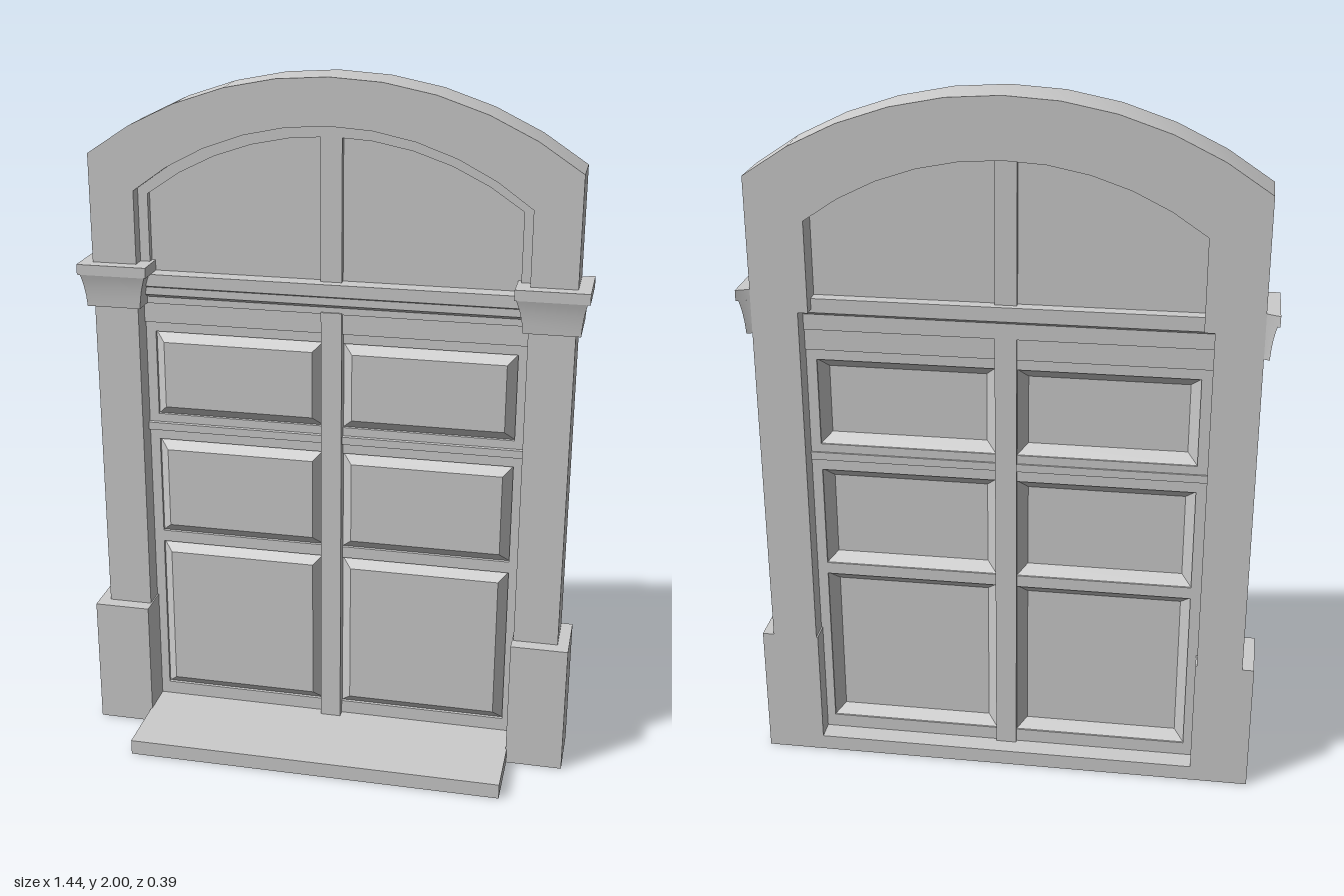
import * as THREE from 'three';
import { toCreasedNormals, mergeVertices } from 'three/addons/utils/BufferGeometryUtils.js';

const mat = new THREE.MeshStandardMaterial({ color: 0xcccccc });
const sheetMat = new THREE.MeshStandardMaterial({ color: 0xcccccc, side: THREE.DoubleSide });

function add(parent, name, geometry, material = mat) {
  const mesh = new THREE.Mesh(geometry, material);
  mesh.name = name;
  parent.add(mesh);
  return mesh;
}

// Box given by its limits on each axis
function box(parent, name, x0, x1, y0, y1, z0, z1) {
  const mesh = add(parent, name, new THREE.BoxGeometry(x1 - x0, y1 - y0, z1 - z0));
  mesh.position.set((x0 + x1) / 2, (y0 + y1) / 2, (z0 + z1) / 2);
  return mesh;
}

// Points of a segmental arch from +x to -x
function arc(halfWidth, spring, top, n = 10) {
  const rise = top - spring;
  const r = (halfWidth ** 2 + rise ** 2) / (2 * rise);
  const a = Math.asin(halfWidth / r);
  return Array.from({ length: n + 1 }, (_, i) => {
    const t = a - (2 * a * i) / n;
    return new THREE.Vector2(r * Math.sin(t), top - r + r * Math.cos(t));
  });
}

// Arched band between an outer and an inner arch, with legs down to a base
function archBand(outer, inner, base, z0, z1) {
  const o = arc(...outer), i = arc(...inner).reverse();
  const shape = new THREE.Shape([
    new THREE.Vector2(outer[0], base), ...o, new THREE.Vector2(-outer[0], base),
    new THREE.Vector2(-inner[0], base), ...i, new THREE.Vector2(inner[0], base),
  ]);
  const g = new THREE.ExtrudeGeometry(shape, { depth: z1 - z0, bevelEnabled: false });
  g.translate(0, 0, z0);
  return toCreasedNormals(g, 0.4);
}

// Closed solid through horizontal rings of [x, z] corners
function loft(rings, heights, side) {
  const pos = [];
  const n = rings[0].length;
  const put = (k, i) => pos.push(rings[k][i % n][0] * side, heights[k], rings[k][i % n][1]);
  const tri = (a, b, c) => (side > 0 ? [a, b, c] : [a, c, b]).forEach(p => put(...p));
  for (let k = 0; k < rings.length - 1; k++) {
    for (let i = 0; i < n; i++) {
      tri([k, i], [k + 1, i + 1], [k, i + 1]);
      tri([k, i], [k + 1, i], [k + 1, i + 1]);
    }
  }
  const last = rings.length - 1;
  const flat = k => THREE.ShapeUtils.triangulateShape(rings[k].map(p => new THREE.Vector2(p[0], -p[1])), []);
  // rings run counter-clockwise seen from below
  for (const [a, b, c] of flat(last)) tri([last, a], [last, b], [last, c]);
  for (const [a, b, c] of flat(0)) tri([0, a], [0, c], [0, b]);
  const g = new THREE.BufferGeometry();
  g.setAttribute('position', new THREE.Float32BufferAttribute(pos, 3));
  return toCreasedNormals(g, 0.5);
}

// Raised door panel: sloping borders around a flat field, open at the back
function raisedPanel(x0, x1, y0, y1, zBack, zFront, b) {
  const ring = (d, z) => [[x0 + d, y0 + d, z], [x1 - d, y0 + d, z], [x1 - d, y1 - d, z], [x0 + d, y1 - d, z]];
  const o = ring(0, zBack), f = ring(b, zFront);
  const pos = [];
  const quad = (p, q, r, s) => pos.push(...p, ...q, ...r, ...p, ...r, ...s);
  for (let i = 0; i < 4; i++) {
    const j = (i + 1) % 4;
    quad(o[i], o[j], f[j], f[i]);
  }
  quad(...f);
  const g = new THREE.BufferGeometry();
  g.setAttribute('position', new THREE.Float32BufferAttribute(pos, 3));
  g.computeVertexNormals();
  return g;
}

function rectPath(Type, x0, x1, y0, y1) {
  const p = new Type();
  p.moveTo(x0, y0).lineTo(x1, y0).lineTo(x1, y1).lineTo(x0, y1).closePath();
  return p;
}

export function createModel() {
  const model = new THREE.Group();
  model.name = 'archedDoorway';

  // Stone surround: piers and arch in one piece
  add(model, 'stoneArch', archBand([0.685, 1.77, 2.0], [0.556, 1.67, 1.87], 0.38, -0.18, -0.04));

  // Doorstep running through to the back
  box(model, 'doorstep', -0.555, 0.555, 0, 0.045, -0.18, 0.195);

  // Capital section: [height, outer x, inner x, front z]
  const section = [
    [1.335, 0.700, 0.543, -0.020],
    [1.365, 0.702, 0.540, -0.018],
    [1.395, 0.706, 0.534, -0.014],
    [1.415, 0.710, 0.528, -0.010],
    [1.43, 0.714, 0.523, -0.006],
    [1.43, 0.721, 0.518, -0.003],
    [1.46, 0.721, 0.518, -0.003],
  ];
  const rings = section.map(([, xo, xi, zf]) => [
    [xo, -0.18 - (xo - 0.685) * 0.4], [0.685, -0.179], [0.6, -0.17],
    [0.6, -0.11], [xi, -0.11], [xi, zf], [xo, zf],
  ].reverse());

  for (const side of [1, -1]) {
    const tag = side > 0 ? 'left' : 'right';
    const span = (a, b) => (side > 0 ? [a, b] : [-b, -a]);
    box(model, tag + 'Plinth', ...span(0.552, 0.718), 0, 0.39, -0.18, 0);
    add(model, tag + 'Capital', loft(rings, section.map(s => s[0]), side));
  }

  // Fanlight: frame, glazing and central bar
  add(model, 'fanlightFrame', archBand([0.557, 1.671, 1.871], [0.528, 1.655, 1.835], 1.40, -0.18, -0.08));
  const pane = new THREE.Shape([
    new THREE.Vector2(0.54, 1.4), ...arc(0.54, 1.66, 1.845), new THREE.Vector2(-0.54, 1.4),
  ]);
  const glass = add(model, 'fanlightPane', new THREE.ExtrudeGeometry(pane, { depth: 0.01, bevelEnabled: false }));
  glass.position.z = -0.11;
  box(model, 'fanlightBar', -0.03, 0.03, 1.42, 1.84, -0.125, -0.08);

  // Moulded transom between door and fanlight, drawn as [z, y]
  const profile = new THREE.Shape([
    [-0.13, 1.335], [-0.085, 1.335], [-0.085, 1.355], [-0.06, 1.368], [-0.06, 1.39],
    [-0.05, 1.395], [-0.05, 1.43], [-0.145, 1.43], [-0.145, 1.39], [-0.13, 1.38],
  ].map(p => new THREE.Vector2(-p[0], p[1])).reverse());
  const transom = new THREE.ExtrudeGeometry(profile, { depth: 1.112, bevelEnabled: false });
  transom.rotateY(Math.PI / 2).translate(-0.556, 0, 0);
  add(model, 'transom', transom);

  // Pair of door leaves with three raised panels each
  const panelRows = [[0.085, 0.575], [0.61, 0.91], [0.99, 1.245]];
  for (const side of [1, -1]) {
    const leaf = new THREE.Group();
    leaf.name = side > 0 ? 'leftDoorLeaf' : 'rightDoorLeaf';
    model.add(leaf);
    const span = (a, b) => (side > 0 ? [a, b] : [-b, -a]);
    const outline = rectPath(THREE.Shape, ...span(0.02, 0.557), 0.04, 1.34);
    for (const row of panelRows) outline.holes.push(rectPath(THREE.Path, ...span(0.03, 0.527), ...row));
    const frame = add(leaf, 'leafFrame', new THREE.ExtrudeGeometry(outline, { depth: 0.015, bevelEnabled: false }));
    frame.position.z = -0.12;
    for (const row of panelRows) {
      add(leaf, 'raisedPanel', raisedPanel(...span(0.03, 0.527), ...row, -0.115, -0.09, 0.028), sheetMat);
    }
    box(leaf, 'topRail', ...span(0.03, 0.556), 1.275, 1.336, -0.125, -0.095);
    box(leaf, 'middleBead', ...span(0.03, 0.556), 0.942, 0.965, -0.125, -0.092);
  }
  box(model, 'meetingStile', -0.03, 0.03, 0.04, 1.34, -0.13, -0.08);

  return model;
}
